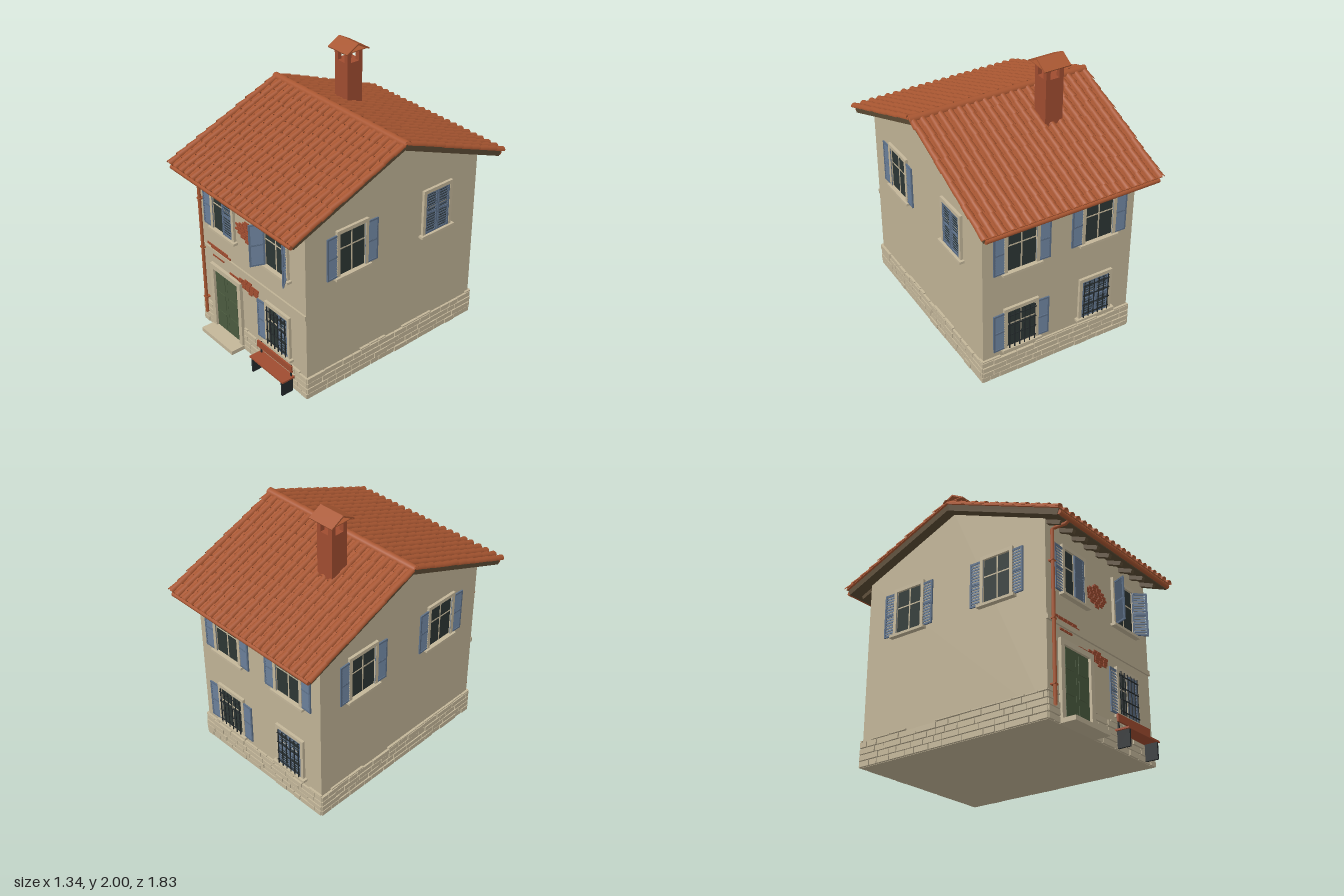
import * as THREE from 'three';
import { mergeGeometries } from 'three/addons/utils/BufferGeometryUtils.js';

const colours = {
  plaster: 0xbfb295, stone: 0xc3b699, terracotta: 0xa85631, brick: 0x9f4c30, timber: 0x5a4a33,
  shutterBlue: 0x5d7088, glass: 0x2c3634, iron: 0x23292b, doorGreen: 0x4b5b3f,
};
const mats = {};
const HX = 0.57, HZ = 0.74, PITCH = Math.atan(0.4);

let seed = 7;
const rand = () => (seed = (seed * 16807) % 2147483647) / 2147483647;

// Box geometry centred at x, y, z
const box = (w, h, d, x = 0, y = 0, z = 0) => new THREE.BoxGeometry(w, h, d).translate(x, y, z);

function add(parent, name, mat, geos) {
  const mesh = new THREE.Mesh(Array.isArray(geos) ? mergeGeometries(geos) : geos, mats[mat]);
  mesh.name = name;
  parent.add(mesh);
  return mesh;
}

function group(parent, name, x = 0, y = 0, z = 0, ry = 0) {
  const g = new THREE.Group();
  g.name = name;
  g.position.set(x, y, z);
  g.rotation.y = ry;
  parent.add(g);
  return g;
}

// Louvred shutter reaching from its hinge at x = 0 towards dir
function shutter(parent, x, h, dir, degrees) {
  const w = 0.104, g = group(parent, 'shutter', x, 0, 0.012, -dir * THREE.MathUtils.degToRad(degrees));
  const parts = [];
  for (const sx of [0.006, w - 0.006]) parts.push(box(0.012, h, 0.01, dir * sx, h / 2, 0));
  for (const sy of [0.006, h / 2, h - 0.006]) parts.push(box(w, 0.012, 0.01, dir * w / 2, sy, 0));
  const n = Math.round(h / 0.02);
  for (let i = 0; i < n; i++) {
    parts.push(new THREE.BoxGeometry(w - 0.02, 0.019, 0.003).rotateX(0.45)
      .translate(dir * w / 2, (i + 0.5) * h / n, 0));
  }
  add(g, 'louvredShutter', 'shutterBlue', parts);
}

// Window with its opening's bottom centre at the origin, facing +z
function windowUnit(parent, x, y, z, ry, left, right, barred) {
  const g = group(parent, barred ? 'barredWindow' : 'window', x, y, z, ry);
  const w = 0.212, h = barred ? 0.3 : 0.312;
  add(g, 'windowGlass', 'glass', box(w, h, 0.004, 0, h / 2, 0.002));
  add(g, 'windowFrame', 'stone', [
    box(0.01, h, 0.006, 0, h / 2, 0.003), box(w, 0.009, 0.006, 0, h * 0.62, 0.003),
  ]);
  add(g, 'windowSurround', 'stone', [
    box(0.024, h, 0.02, -w / 2 - 0.012, h / 2, 0.01), box(0.024, h, 0.02, w / 2 + 0.012, h / 2, 0.01),
    box(w + 0.048, 0.026, 0.02, 0, h + 0.013, 0.01), box(w + 0.085, 0.018, 0.036, 0, -0.009, 0.018),
  ]);
  if (left !== null) shutter(g, -w / 2, h, 1, left);
  if (right !== null) shutter(g, w / 2, h, -1, right);
  if (barred) {
    const bars = [];
    for (let i = 0; i < 6; i++) bars.push(box(0.006, h, 0.006, -0.095 + i * 0.038, h / 2, 0.027));
    for (let i = 0; i < 4; i++) bars.push(box(w, 0.006, 0.006, 0, 0.03 + i * 0.08, 0.027));
    add(g, 'windowBars', 'iron', bars);
  }
}

// Courses of uneven stones along one wall, leaving an optional gap
function stoneCourse(parent, half, z, ry, gap) {
  const stones = [];
  for (let row = 0; row < 5; row++) {
    const h = row === 4 ? 0.014 : 0.041;
    for (let x = -half; x < half - 0.01;) {
      const len = Math.min(0.06 + rand() * 0.12, half - x);
      const inGap = gap && x + len > gap[0] && x < gap[1];
      const a = inGap && x < gap[0] ? x : inGap ? Math.max(x, gap[1]) : x;
      const b = inGap && x < gap[0] ? gap[0] : x + len;
      const d = 0.012 + rand() * 0.006;
      if (b - a > 0.015 && !(row === 4 && rand() < 0.45)) {
        stones.push(box(b - a - 0.006, h - 0.005, d, (a + b) / 2, row * 0.043 + h / 2, d / 2));
      }
      x += len;
    }
  }
  add(group(parent, 'stoneBase', ry % Math.PI ? Math.sign(ry) * z : 0, 0, ry % Math.PI ? 0 : (ry ? -z : z), ry), 'stones', 'stone', stones);
}

// Exposed bricks: each row is [y, from x, to x]
function brickPatch(parent, rows) {
  const bricks = [];
  rows.forEach(([y, a, b], i) => {
    const n = Math.max(1, Math.round((b - a) / 0.045)), w = (b - a) / n;
    for (let k = 0; k < n; k++) bricks.push(box(w - 0.005, 0.014, 0.006, a + (k + 0.5) * w, y, HZ + 0.003));
  });
  add(parent, 'exposedBricks', 'brick', bricks);
}

// One roof slope: deck, rafters, gutter and barrel tiles
function roofSlope(parent, ry) {
  const side = group(parent, 'roofSlope', 0, 1.655, 0, ry);
  const g = group(side, 'pitchedSlope');
  g.rotation.x = PITCH;
  add(g, 'roofDeck', 'timber', box(1.28, 0.042, 0.965, 0, -0.021, 0.4825));
  add(g, 'tileBed', 'terracotta', box(1.31, 0.006, 0.97, 0, 0.003, 0.485));
  const rafters = [];
  for (let i = 0; i < 9; i++) rafters.push(box(0.03, 0.03, 0.2, -0.54 + i * 0.135, -0.055, 0.83));
  add(g, 'rafterTails', 'timber', rafters);
  const tiles = [], cols = 21, rows = 11, len = 0.975 / rows;
  for (let c = 0; c < cols; c++) {
    const shift = (rand() - 0.5) * 0.03;
    for (let r = 0; r < rows; r++) {
      const start = Math.max(0, r * len + shift);
      const end = r === rows - 1 ? 0.975 : (r + 1) * len + shift + 0.012;
      tiles.push(new THREE.CylinderGeometry(0.021, 0.026, end - start, 6, 1, true, -Math.PI / 2, Math.PI)
        .rotateX(-Math.PI / 2).rotateX(-0.05).rotateY((rand() - 0.5) * 0.06)
        .translate(-0.64 + c * 0.064 + (rand() - 0.5) * 0.007, 0.002, (start + end) / 2));
    }
  }
  add(g, 'barrelTiles', 'terracotta', tiles);
  add(side, 'gutter', 'terracotta', new THREE.CylinderGeometry(0.016, 0.016, 1.27, 10)
    .rotateZ(Math.PI / 2).translate(0, -0.38, 0.893));
}

export function createModel() {
  for (const [name, color] of Object.entries(colours)) {
    mats[name] = new THREE.MeshStandardMaterial({ color });
    mats[name].name = name;
  }
  mats.terracotta.side = THREE.DoubleSide;
  const house = new THREE.Group();
  house.name = 'house';

  // Walls with gables
  const outline = new THREE.Shape([[-HZ, 0], [HZ, 0], [HZ, 1.325], [0, 1.62], [-HZ, 1.325]]
    .map(([x, y]) => new THREE.Vector2(x, y)));
  add(house, 'walls', 'plaster', new THREE.ExtrudeGeometry(outline, { depth: HX * 2, bevelEnabled: false })
    .rotateY(Math.PI / 2).translate(-HX, 0, 0));
  add(house, 'stringCourse', 'plaster', box(1.145, 0.035, 0.012, 0, 0.648, HZ + 0.006));

  stoneCourse(house, HX + 0.012, HZ, 0, [-0.465, -0.105]);
  stoneCourse(house, HX + 0.012, HZ, Math.PI);
  stoneCourse(house, HZ + 0.012, HX, Math.PI / 2);
  stoneCourse(house, HZ + 0.012, HX, -Math.PI / 2);

  // Roof and ridge
  roofSlope(house, 0);
  roofSlope(house, Math.PI);
  const ridge = [];
  for (let i = 0; i < 12; i++) {
    ridge.push(new THREE.CylinderGeometry(0.027, 0.031, 0.118, 8, 1, true, -Math.PI / 2, Math.PI)
      .rotateX(-Math.PI / 2).rotateY(Math.PI / 2).translate(-0.6 + i * 0.1095, 1.655, 0));
  }
  add(house, 'ridgeTiles', 'terracotta', ridge);

  // Windows: x, y, z, facing, left and right shutter angle, barred
  const right = Math.PI / 2, back = Math.PI;
  [
    [-0.285, 0.86, HZ, 0, 178, 0, false], [0.284, 0.86, HZ, 0, 112, 132, false],
    [0.284, 0.235, HZ, 0, 178, 0, true],
    [HX, 0.86, 0.37, right, 178, 178, false], [HX, 0.86, -0.37, right, 0, 0, false],
    [-HX, 0.86, 0.37, -right, 178, 178, false], [-HX, 0.86, -0.37, -right, 178, 178, false],
    [0.29, 0.86, -HZ, back, 178, 178, false], [-0.29, 0.86, -HZ, back, 178, 178, false],
    [0.29, 0.235, -HZ, back, 178, 178, true], [-0.29, 0.235, -HZ, back, 0, 0, true],
  ].forEach((w) => windowUnit(house, ...w));

  // Door, surround and step
  const door = group(house, 'door', -0.285, 0, HZ);
  const leaves = [];
  for (const s of [-1, 1]) {
    leaves.push(box(0.135, 0.48, 0.006, s * 0.0685, 0.27, 0.003));
    for (const y of [0.11, 0.27, 0.43]) leaves.push(box(0.085, 0.12, 0.004, s * 0.0685, y, 0.008));
  }
  add(door, 'doorLeaves', 'doorGreen', leaves);
  add(door, 'doorSurround', 'stone', [
    box(0.036, 0.51, 0.024, -0.155, 0.255, 0.012), box(0.036, 0.51, 0.024, 0.155, 0.255, 0.012),
    box(0.346, 0.036, 0.024, 0, 0.528, 0.012),
  ]);
  add(door, 'doorStep', 'stone', box(0.36, 0.03, 0.12, 0, 0.015, 0.06));

  // Bare brick patches
  brickPatch(house, [[0.913, -0.05, 0.0], [0.932, -0.1, 0.04], [0.951, -0.13, 0.06], [0.97, -0.155, 0.07],
    [0.989, -0.14, 0.09], [1.008, -0.15, 0.08], [1.027, -0.11, 0.06], [1.046, -0.07, 0.03], [1.062, -0.05, 0.0]]);
  brickPatch(house, [[0.688, -0.5, -0.26], [0.672, -0.46, -0.23], [0.614, -0.44, -0.31]]);
  brickPatch(house, [[0.507, -0.04, 0.0], [0.524, -0.11, 0.06], [0.541, -0.16, 0.07], [0.558, -0.25, 0.07],
    [0.575, -0.14, 0.08], [0.592, -0.08, 0.0]]);

  // Downpipe with brackets
  const path = new THREE.CurvePath();
  const pts = [[0.885, 1.262], [0.87, 1.25], [0.765, 1.25], [0.765, 0.09]].map(([z, y]) => new THREE.Vector3(-0.53, y, z));
  for (let i = 0; i < 3; i++) path.add(new THREE.LineCurve3(pts[i], pts[i + 1]));
  add(house, 'downpipe', 'terracotta', new THREE.TubeGeometry(path, 60, 0.012, 8));
  add(house, 'pipeBrackets', 'terracotta', [0.22, 0.64, 1.03].map((y) => box(0.034, 0.01, 0.036, -0.53, y, 0.759)));

  // Bench under the ground-floor window
  const bench = group(house, 'bench', 0.283, 0, 0.81);
  add(bench, 'benchPlanks', 'brick', [box(0.37, 0.05, 0.012, 0, 0.195, -0.026), box(0.36, 0.012, 0.1, 0, 0.118, 0)]);
  add(bench, 'benchLegs', 'iron', [
    ...[-0.16, 0.16].map((x) => box(0.014, 0.112, 0.09, x, 0.056, 0)),
    ...[-0.16, 0.16].map((x) => box(0.012, 0.1, 0.008, x, 0.165, -0.036)),
  ]);

  // Chimney with open lantern and gabled cap
  const chimney = group(house, 'chimney', -0.2, 0, -0.265);
  const stack = [box(0.13, 0.42, 0.13, 0, 1.65, 0)];
  for (const x of [-1, 1]) for (const z of [-1, 1]) stack.push(box(0.032, 0.09, 0.032, x * 0.049, 1.905, z * 0.049));
  add(chimney, 'chimneyStack', 'brick', stack);
  const cap = [box(0.19, 0.006, 0.17, 0, 1.949, 0)];
  for (const s of [-1, 1]) {
    cap.push(new THREE.BoxGeometry(0.195, 0.01, 0.11).rotateX(s * 0.5).translate(0, 1.968, s * 0.048));
  }
  add(chimney, 'chimneyCap', 'terracotta', cap);
  return house;
}
